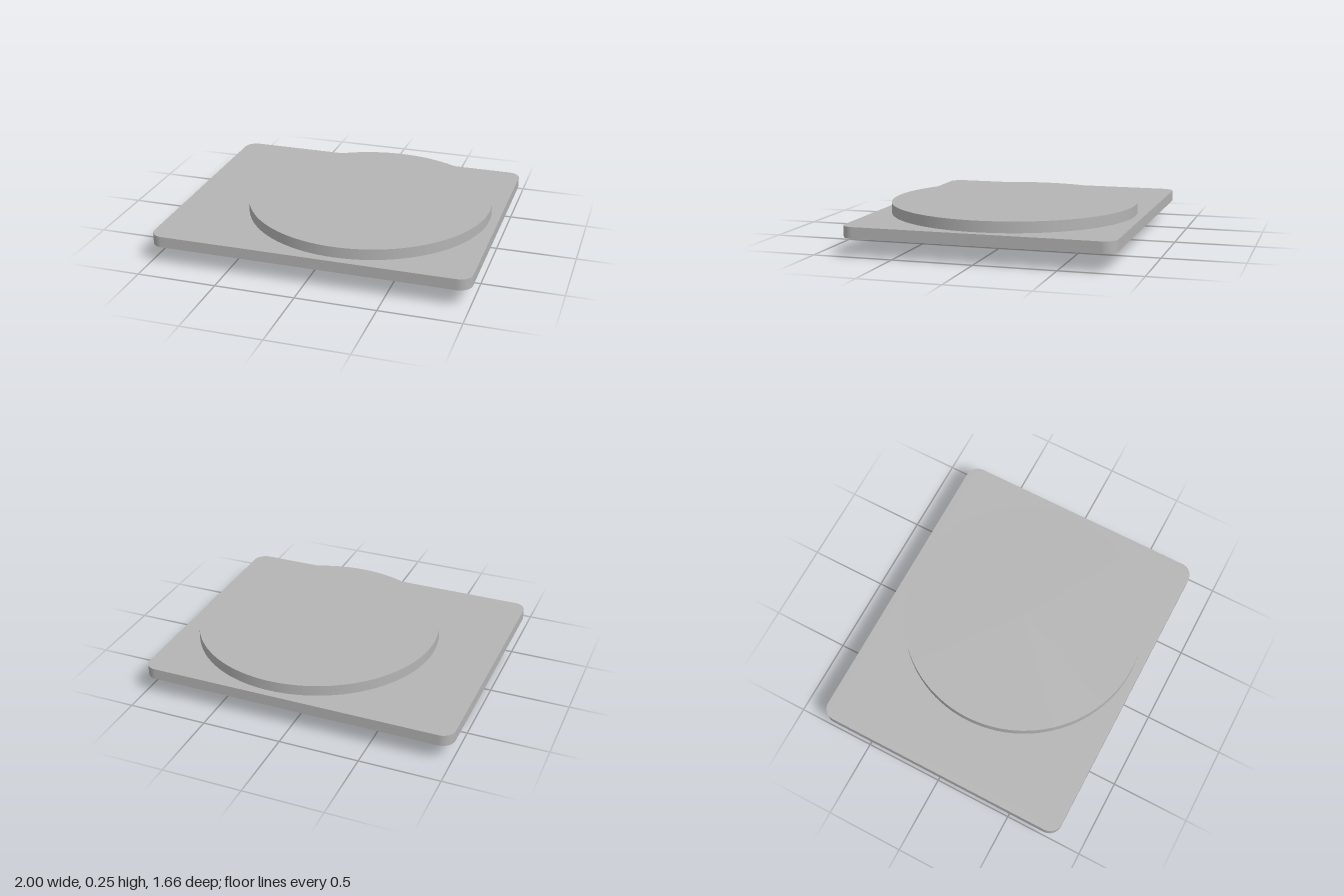
import * as THREE from 'three';

// Rectangle outline with rounded corners, centred on the origin
function roundedRect(width, depth, radius) {
  const x = width / 2 - radius, y = depth / 2 - radius;
  const shape = new THREE.Shape();
  shape.absarc(x, y, radius, 0, Math.PI / 2);
  shape.absarc(-x, y, radius, Math.PI / 2, Math.PI);
  shape.absarc(-x, -y, radius, Math.PI, Math.PI * 1.5);
  shape.absarc(x, -y, radius, Math.PI * 1.5, Math.PI * 2);
  shape.closePath();
  return shape;
}

export function createModel() {
  const model = new THREE.Group();
  model.name = 'plateWithDisc';
  const grey = new THREE.MeshStandardMaterial({ color: 0xb4b4b4 });
  grey.name = 'grey';

  const add = (name, geometry, x, y, z) => {
    const mesh = new THREE.Mesh(geometry, grey);
    mesh.name = name;
    mesh.position.set(x, y, z);
    model.add(mesh);
  };

  // Flat base plate with rounded corners
  const plate = new THREE.ExtrudeGeometry(roundedRect(2, 1.66, 0.08), {
    depth: 0.07, bevelEnabled: false, curveSegments: 12,
  });
  plate.rotateX(-Math.PI / 2);
  add('basePlate', plate, 0, 0.112, 0);

  // Raised round disc, offset to the left of the plate
  add('disc', new THREE.CylinderGeometry(0.777, 0.777, 0.068, 96), 0.167, 0.216, 0);

  // Bar under the right edge
  add('undersideBar', new THREE.BoxGeometry(0.11, 0.112, 0.886), -0.895, 0.056, 0);

  return model;
}
